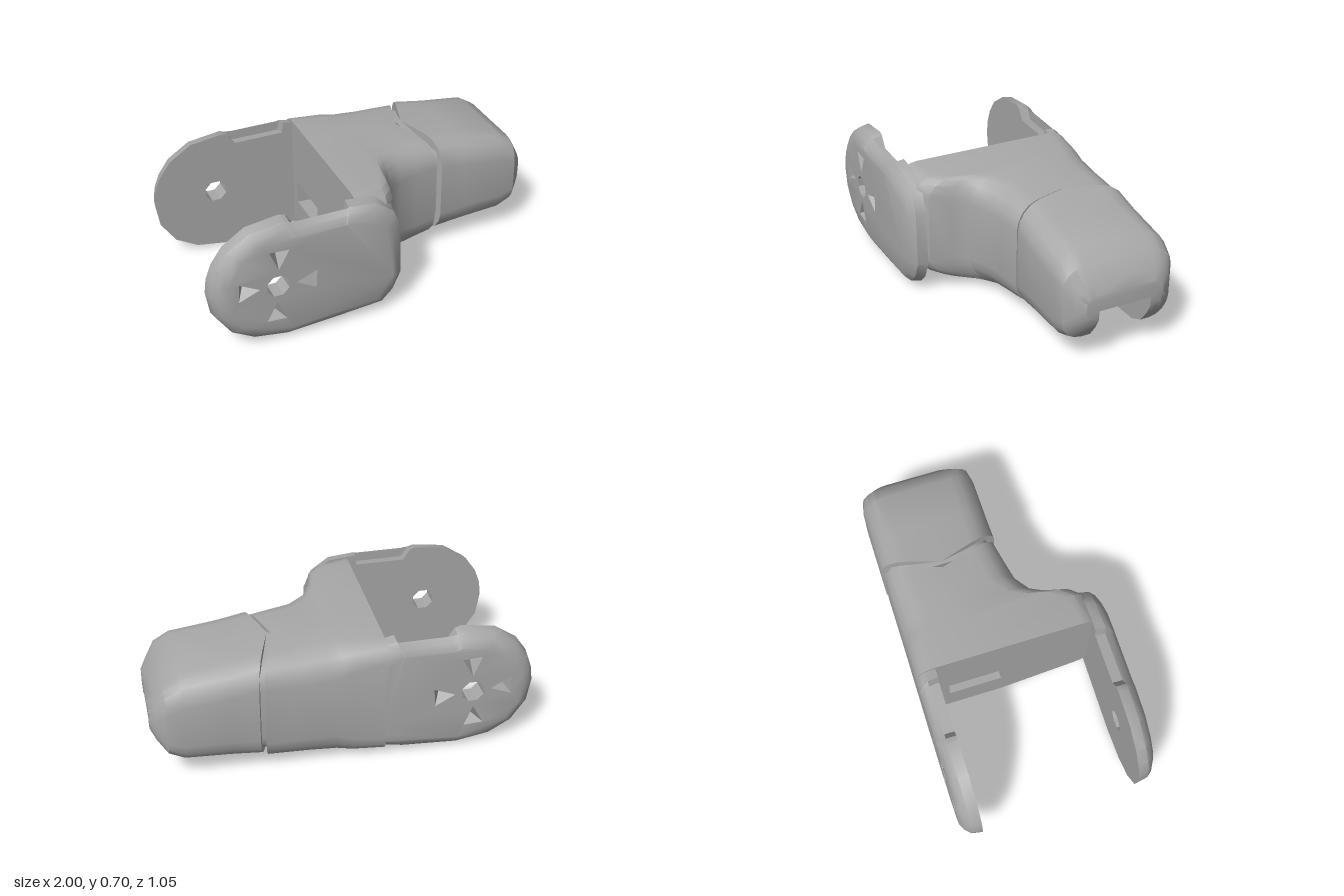
import * as THREE from 'three';
import { toCreasedNormals } from 'three/addons/utils/BufferGeometryUtils.js';

const V2 = (x, y) => new THREE.Vector2(x, y);
const V3 = (x, y, z) => new THREE.Vector3(x, y, z);

// Side walls between successive rings of equal length
function addWalls(tris, rings) {
  for (let i = 0; i < rings.length - 1; i++) {
    const p = rings[i], q = rings[i + 1];
    for (let j = 0; j < p.length; j++) {
      const k = (j + 1) % p.length;
      tris.push([p[j], q[j], p[k]], [p[k], q[j], q[k]]);
    }
  }
}

// Flat cap with optional holes; flat() gives 2D points, dir is the outward direction
function addCap(tris, ring, holes, flat, dir) {
  const all = [ring, ...holes].flat();
  const faces = THREE.ShapeUtils.triangulateShape(ring.map(flat), holes.map((h) => h.map(flat)));
  for (const [a, b, c] of faces) {
    const n = all[b].clone().sub(all[a]).cross(all[c].clone().sub(all[a]));
    tris.push(n.dot(dir) > 0 ? [all[a], all[b], all[c]] : [all[a], all[c], all[b]]);
  }
}

function toMesh(name, tris, material) {
  const geo = new THREE.BufferGeometry().setFromPoints(tris.flat());
  const mesh = new THREE.Mesh(toCreasedNormals(geo, 0.55), material);
  mesh.name = name;
  return mesh;
}

// Loft along x with both ends closed
function loftX(name, rings, material) {
  const tris = [], flat = (p) => V2(p.z, p.y);
  addWalls(tris, rings);
  addCap(tris, rings[0], [], flat, V3(-1, 0, 0));
  addCap(tris, rings[rings.length - 1], [], flat, V3(1, 0, 0));
  return toMesh(name, tris, material);
}

const SLOT = { z0: -0.36, z1: -0.07, top: 0.33 };
const MID = -0.22;

// Rounded arch section: a rounded rectangle with a channel cut up from below.
// A chevron amount pushes the flanks further along x than the middle.
function arch([x, z0, z1, y0, y1, r, chevron = 0]) {
  const pts = [[SLOT.z1, y0]];
  const corners = [[z1 - r, y0 + r, -90], [z1 - r, y1 - r, 0], [z0 + r, y1 - r, 90], [z0 + r, y0 + r, 180]];
  corners.forEach(([cz, cy, start], n) => {
    if (n === 2) pts.push([MID, y1]);
    for (let i = 0; i <= 4; i++) {
      const a = THREE.MathUtils.degToRad(start + i * 22.5);
      pts.push([cz + r * Math.cos(a), cy + r * Math.sin(a)]);
    }
  });
  pts.push([SLOT.z0, y0], [SLOT.z0, SLOT.top], [SLOT.z1, SLOT.top]);
  return pts.map(([z, y]) => {
    // The underside rises towards the front cheek
    const lift = 0.28 * Math.max(0, z - 0.1) * (y1 - y) / (y1 - y0);
    return V3(x + chevron * Math.abs(z - MID) / 0.31, y + lift, z);
  });
}

// Fork cheek outline, optionally with the relief cut in its top edge
function cheekRing(z, inset, relief, maxX) {
  const dip = relief ? 0.63 : 0.685;
  const outline = [
    [-1, 0.35], [-0.99, 0.43], [-0.96, 0.51], [-0.9, 0.595], [-0.78, 0.675], [-0.6, 0.7],
    [-0.57, 0.69], [-0.53, dip], [-0.26, dip], [-0.25, 0.69], [-0.1, 0.675], [0, 0.6], [0.04, 0.5],
    [0.045, 0.2], [0, 0.1], [-0.06, 0.04], [-0.3, 0.02], [-0.6, 0], [-0.78, 0.03], [-0.9, 0.1], [-0.98, 0.22],
  ];
  const sx = 1 - inset / 0.52, sy = 1 - inset / 0.35;
  return outline.map(([x, y]) => V3(Math.min(maxX, -0.48 + (x + 0.48) * sx), 0.35 + (y - 0.35) * sy, z));
}

// Cheek facing +z, cut off at maxX
function cheek(name, material, maxX) {
  const tris = [], flat = (p) => V2(p.x, p.y), zIn = 0.42, zOut = 0.525;
  const cx = -0.655, cy = 0.355;
  const rings = [
    [zIn, 0, true], [0.475, 0.01, true], [0.475, 0.01, false], [0.503, 0.035, false], [zOut, 0.075, false],
  ].map(([z, inset, relief]) => cheekRing(z, inset, relief, maxX));
  addWalls(tris, rings);

  // Pivot hole
  const pivot = (z) => Array.from({ length: 8 }, (_, i) => {
    const a = (i + 0.5) * Math.PI / 4;
    return V3(cx + 0.062 * Math.cos(a), cy + 0.062 * Math.sin(a), z);
  });
  addWalls(tris, [pivot(zOut), pivot(zIn)]);

  // Four three-sided pockets pointing at the pivot
  const pockets = [0, 1, 2, 3].map((i) => {
    const a = i * Math.PI / 2 - 0.06, c = Math.cos(a), s = Math.sin(a);
    return [[0.095, 0], [0.205, 0.052], [0.205, -0.052]].map(([u, v]) => V3(cx + u * c - v * s, cy + u * s + v * c, zOut));
  });
  for (const p of pockets) {
    const apex = p[0].clone().add(p[1]).add(p[2]).divideScalar(3).setZ(zOut - 0.06);
    p.forEach((q, i) => tris.push([q, apex, p[(i + 1) % 3]]));
  }
  addCap(tris, rings[0], [pivot(zIn)], flat, V3(0, 0, -1));
  addCap(tris, rings[rings.length - 1], [pivot(zOut), ...pockets], flat, V3(0, 0, 1));
  return toMesh(name, tris, material);
}

export function createModel() {
  const model = new THREE.Group();
  model.name = 'fingerLink';
  const grey = new THREE.MeshStandardMaterial({ color: 0xa8a8a8, side: THREE.DoubleSide });
  grey.name = 'grey';

  // Fork cheeks; the back one runs straight into the body
  const front = cheek('frontCheek', grey, 0.05);
  const back = cheek('backCheek', grey, -0.19);
  back.scale.z = -1;

  // Body narrowing from the fork: x, z0, z1, y0, y1, radius, chevron
  const body = loftX('body', [
    [-0.2, -0.525, 0.47, 0.02, 0.69, 0.1],
    [-0.03, -0.525, 0.45, 0.025, 0.682, 0.12],
    [0.025, -0.525, 0.4, 0.028, 0.678, 0.14],
    [0.055, -0.525, 0.29, 0.03, 0.676, 0.15],
    [0.1, -0.525, 0.2, 0.033, 0.673, 0.15],
    [0.19, -0.525, 0.14, 0.04, 0.665, 0.15],
    [0.27, -0.525, 0.115, 0.05, 0.658, 0.14, 0.03],
    [0.335, -0.525, 0.09, 0.06, 0.648, 0.13, 0.095],
  ].map(arch), grey);

  // Recessed neck seen in the seam
  const neck = loftX('neck', [
    [0.3, -0.5, 0.065, 0.09, 0.625, 0.12, 0.095],
    [0.42, -0.5, 0.065, 0.1, 0.62, 0.12, 0.095],
  ].map(arch), grey);

  // Rounded tip with the slot open below and at the end
  const tip = loftX('tip', [
    [0.362, -0.53, 0.1, 0.075, 0.665, 0.14, 0.095],
    [0.6, -0.53, 0.1, 0.09, 0.635, 0.14],
    [0.84, -0.53, 0.1, 0.11, 0.6, 0.13],
    [0.92, -0.515, 0.09, 0.15, 0.55, 0.11],
    [0.97, -0.475, 0.045, 0.22, 0.47, 0.09],
    [1, -0.43, 0, 0.28, 0.42, 0.06],
  ].map(arch), grey);

  // Floor closing the channel under the body, rising towards the fork
  const floor = loftX('channelFloor', [
    [-0.2, 0.02, 0.2], [0, 0.025, 0.19], [0.2, 0.04, 0.175], [0.34, 0.062, 0.165], [0.5, 0.083, 0.15],
  ].map(([x, y0, y1]) => [
    V3(x, y0, SLOT.z0), V3(x, y0, SLOT.z1), V3(x, y1, SLOT.z1), V3(x, y1, SLOT.z0),
  ]), grey);

  model.add(front, back, body, neck, tip, floor);
  return model;
}
